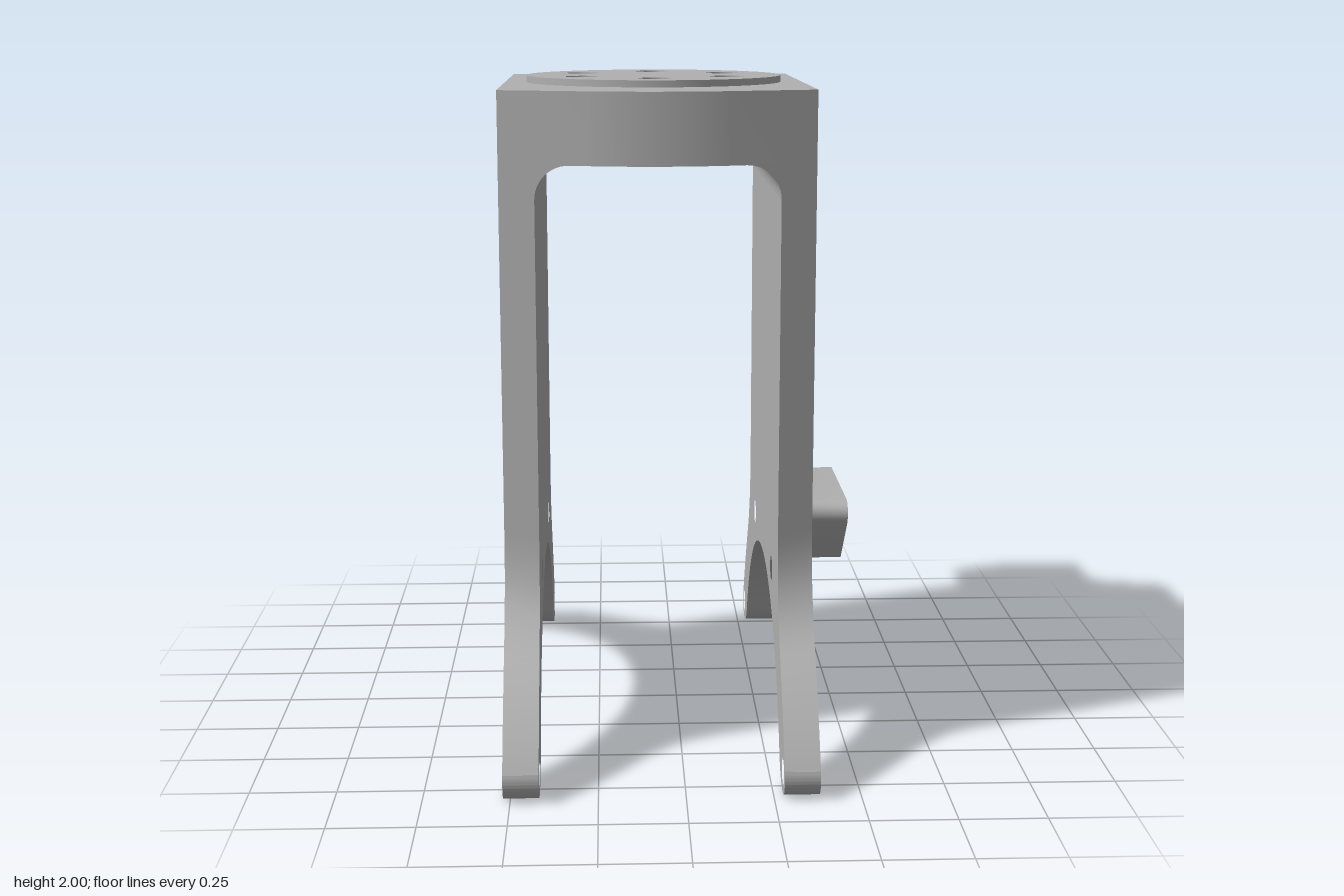
import * as THREE from 'three';
import { toCreasedNormals } from 'three/addons/utils/BufferGeometryUtils.js';

const CX = -0.07;          // middle of the bracket in x
const HALF = 0.45;         // half width
const WALL = 0.1025;       // side wall thickness
const UNDER = 1.775;       // underside of the top plate
const TOP = 1.98;
const ARCH_Y = -0.27, ARCH_R = 0.761;

// depth of the slanted front and back faces at a given x
const edgeZ = (x) => 0.525 + 0.3 * (HALF - Math.abs(x - CX));

const circle = (x, y, r) => new THREE.Path().absarc(x, y, r, 0, Math.PI * 2, true);

function extrude(shape, depth) {
  return new THREE.ExtrudeGeometry(shape, { depth, bevelEnabled: false, curveSegments: 20 });
}

function reshape(geo, rule) {
  const p = geo.attributes.position, v = new THREE.Vector3();
  for (let i = 0; i < p.count; i++) {
    rule(v.fromBufferAttribute(p, i));
    p.setXYZ(i, v.x, v.y, v.z);
  }
  return geo;
}

// side wall with two splayed legs and an arched cut-out
function wallGeometry() {
  const half = new THREE.Path();
  half.moveTo(0.525, UNDER);
  half.lineTo(0.525, 0.7);
  half.bezierCurveTo(0.525, 0.56, 0.58, 0.47, 0.67, 0.36);
  half.quadraticCurveTo(0.79, 0.21, 0.857, 0.09);
  half.absarc(0.8, 0.065, 0.064, 0.4, -1.75, true);
  half.quadraticCurveTo(0.715, 0.01, 0.68, 0.072);
  half.absarc(0, ARCH_Y, ARCH_R, 0.466, Math.PI / 2, false);
  const pts = half.getPoints(20);
  const mirrored = pts.slice(0, -1).reverse().map((p) => new THREE.Vector2(-p.x, p.y));
  const shape = new THREE.Shape([...pts, ...mirrored]);
  for (const s of [-1, 1]) {
    shape.holes.push(circle(s * 0.33, 0.53, 0.037), circle(s * 0.8, 0.065, 0.037));
  }
  return extrude(shape, WALL).rotateY(Math.PI / 2);
}

// slant the upright edges, fading out where the legs begin
function slant(v) {
  if (Math.abs(v.z) < 0.5 || v.y < 0.36) return;
  v.z += Math.sign(v.z) * (edgeZ(v.x) - 0.525) * THREE.MathUtils.smoothstep(v.y, 0.36, 0.7);
}

// six bolt holes in a ring
function addBoltHoles(shape) {
  for (let i = 0; i < 6; i++) {
    const a = Math.PI / 2 + i * Math.PI / 3;
    shape.holes.push(circle(0.25 * Math.cos(a), 0.25 * Math.sin(a), 0.05));
  }
  return shape;
}

// top plate with a bowed front and a tab at the back
function plateShape() {
  const s = new THREE.Shape();
  s.moveTo(-HALF, -0.525);
  s.lineTo(-0.2, -0.6);
  s.quadraticCurveTo(0, -0.655, 0.2, -0.6);
  s.lineTo(HALF, -0.525);
  s.lineTo(HALF, 0.525);
  s.lineTo(0.25, 0.585);
  s.bezierCurveTo(0.2, 0.6, 0.175, 0.63, 0.175, 0.68);
  s.lineTo(0.175, 0.815);
  s.quadraticCurveTo(0, 0.857, -0.175, 0.815);
  s.lineTo(-0.175, 0.68);
  s.bezierCurveTo(-0.175, 0.63, -0.2, 0.6, -0.25, 0.585);
  s.lineTo(-HALF, 0.525);
  s.closePath();
  return addBoltHoles(s);
}

// rounded inside corner between a wall and the plate
function filletGeometry(side) {
  const r = 0.1, x = CX + side * (HALF - WALL);
  const s = new THREE.Shape();
  s.moveTo(x, UNDER);
  for (let i = 0; i <= 12; i++) {
    const a = (i / 12) * Math.PI / 2;
    s.lineTo(x - side * r * (1 - Math.cos(a)), UNDER - r * (1 - Math.sin(a)));
  }
  s.closePath();
  return reshape(extrude(s, 1), (v) => { v.z = (2 * v.z - 1) * edgeZ(v.x); });
}

// cross-section of the side lug, grown outwards by d, as [u, y] with u = -z
function lugRing(d) {
  const r = 0.04 + d, cu = 0.205, cy = 0.67;
  const foot = cu + r * Math.SQRT1_2 - (cy - r * Math.SQRT1_2 - 0.487);
  const archY = ARCH_Y + Math.sqrt(ARCH_R ** 2 - foot ** 2);
  const ring = [[-foot, archY], [0, ARCH_Y + ARCH_R], [foot, archY]];
  for (const [side, start] of [[1, -Math.PI / 4], [-1, Math.PI / 2]]) {
    for (let i = 0; i <= 10; i++) {
      const a = start + (i / 10) * Math.PI * 0.75;
      ring.push([side * cu + r * Math.cos(a), cy + r * Math.sin(a)]);
    }
  }
  return ring;
}

// lug lofted outwards from a flared base
function lugGeometry() {
  const x0 = CX + HALF, flare = 0.033, sections = [];
  for (let i = 0; i <= 8; i++) {
    const a = (i / 8) * Math.PI / 2;
    sections.push([x0 + flare * (1 - Math.cos(a)), flare * (1 - Math.sin(a))]);
  }
  sections.push([0.52, 0]);
  const pos = [], idx = [];
  for (const [x, d] of sections) for (const [u, y] of lugRing(d)) pos.push(x, y, -u);
  const n = lugRing(0).length, last = (sections.length - 1) * n;
  for (let k = 0; k < sections.length - 1; k++) {
    for (let i = 0; i < n; i++) {
      const a = k * n + i, b = k * n + (i + 1) % n;
      idx.push(a, b, b + n, a, b + n, a + n);
    }
  }
  pos.push(0.52, 0.62, 0);
  for (let i = 0; i < n; i++) idx.push(last + n, last + i, last + (i + 1) % n);
  const geo = new THREE.BufferGeometry();
  geo.setAttribute('position', new THREE.Float32BufferAttribute(pos, 3));
  geo.setIndex(idx);
  return geo;
}

export function createModel() {
  const group = new THREE.Group();
  group.name = 'bracket';
  const grey = new THREE.MeshStandardMaterial({ color: 0xb0b0b0 });
  grey.name = 'grey';

  const add = (name, geo) => {
    const mesh = new THREE.Mesh(toCreasedNormals(geo, 0.45), grey);
    mesh.name = name;
    group.add(mesh);
  };

  // walls and their inside corners
  for (const [side, label] of [[-1, 'right'], [1, 'left']]) {
    const x0 = side < 0 ? CX - HALF : CX + HALF - WALL;
    add(label + 'Wall', reshape(wallGeometry().translate(x0, 0, 0), slant));
    add(label + 'Fillet', filletGeometry(side));
  }

  // top plate and raised mounting disc
  add('topPlate', extrude(plateShape(), TOP - UNDER).rotateX(-Math.PI / 2).translate(CX, UNDER, 0));
  const disc = new THREE.Shape();
  for (let i = 0; i < 64; i++) {
    const a = (i / 64) * Math.PI * 2;
    disc[i ? 'lineTo' : 'moveTo'](0.387 * Math.cos(a), 0.387 * Math.sin(a));
  }
  add('mountingDisc', extrude(addBoltHoles(disc), 0.02).rotateX(-Math.PI / 2).translate(CX, TOP, 0));

  add('sideLug', lugGeometry());
  return group;
}
